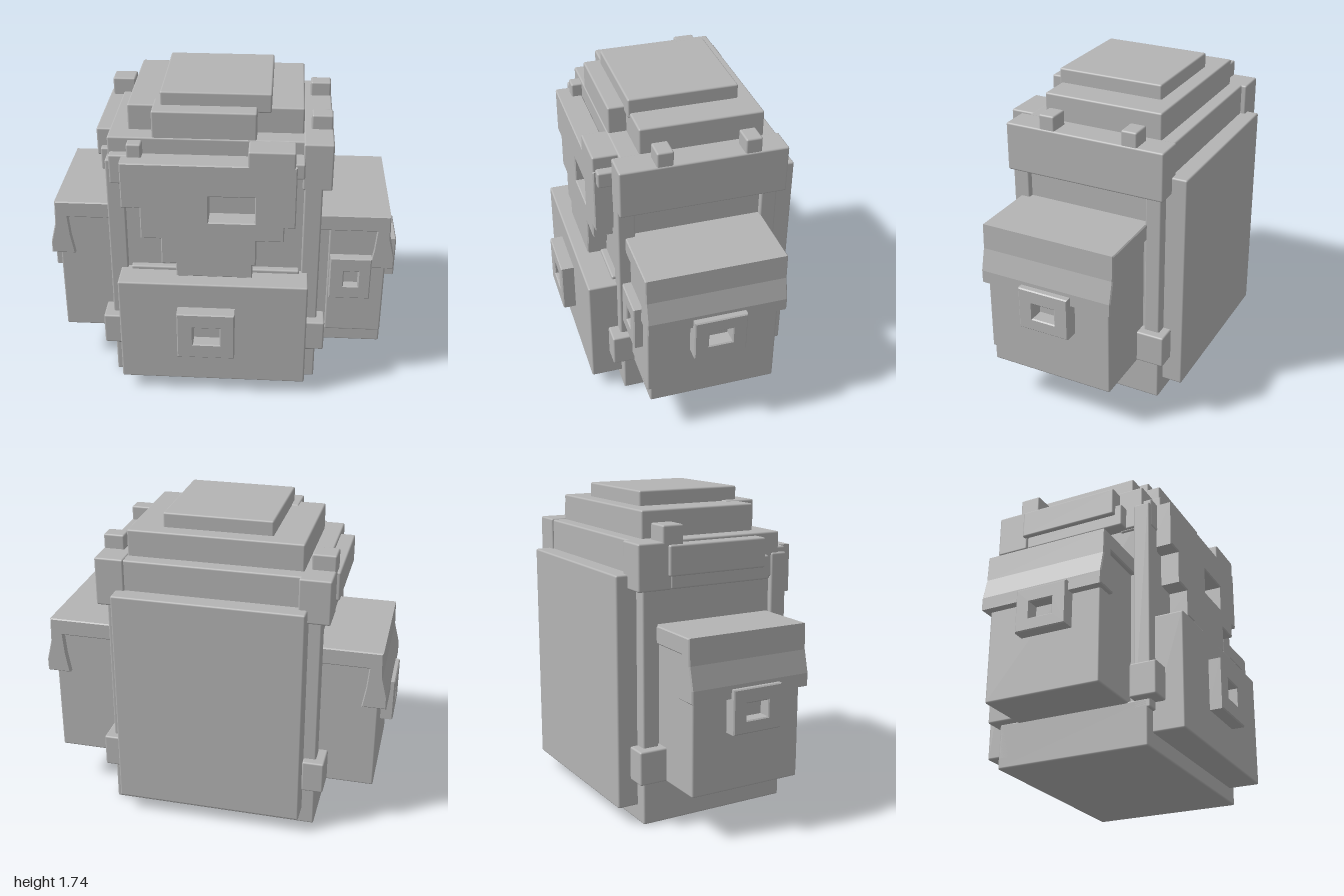
import * as THREE from 'three';
import { RoundedBoxGeometry } from 'three/addons/geometries/RoundedBoxGeometry.js';

const canvas = new THREE.MeshStandardMaterial({ color: 0xb4b4b4 });
canvas.name = 'greyCanvas';

// Softly rounded block given by its extents on each axis.
function block(parent, name, [x0, x1], [y0, y1], [z0, z1], r = 0.01) {
  const geo = new RoundedBoxGeometry(x1 - x0, y1 - y0, z1 - z0, 2, r);
  const mesh = new THREE.Mesh(geo, canvas);
  mesh.name = name;
  mesh.position.set((x0 + x1) / 2, (y0 + y1) / 2, (z0 + z1) / 2);
  parent.add(mesh);
  return mesh;
}

const path = (pts) => pts.map(([x, y]) => new THREE.Vector2(x, y));
const rect = (x0, x1, y0, y1) => path([[x0, y0], [x1, y0], [x1, y1], [x0, y1]]);

// Outline extruded along z, with an optional rectangular hole.
function plate(parent, name, outline, hole, z0, z1) {
  const shape = new THREE.Shape(outline);
  if (hole) shape.holes.push(new THREE.Path(hole));
  const b = 0.006;
  const geo = new THREE.ExtrudeGeometry(shape, {
    depth: z1 - z0 - 2 * b, bevelSize: b, bevelOffset: -b, bevelThickness: b, bevelSegments: 1,
  });
  geo.translate(0, 0, z0 + b);
  const mesh = new THREE.Mesh(geo, canvas);
  mesh.name = name;
  parent.add(mesh);
  return mesh;
}

// Side pocket on the model's left (s = 1) or right (s = -1).
function sidePocket(s, inner, outer, zBack, zFront) {
  const g = new THREE.Group();
  g.name = s > 0 ? 'leftSidePocket' : 'rightSidePocket';
  const span = (a, b) => (s > 0 ? [a, b] : [-b, -a]);
  block(g, 'pocketBody', span(inner, outer - 0.01), [0.24, 1.04], [zBack + 0.03, zFront - 0.025]);

  // Lid: thin top with a flared flap hanging over the outer face
  const pts = [[inner, 0.985], [outer - 0.07, 0.985], [outer - 0.08, 0.87], [outer - 0.1, 0.75],
    [outer + 0.035, 0.75], [outer + 0.035, 0.82], [outer + 0.005, 0.94], [outer, 1.08], [inner, 1.08]];
  const outline = path(pts.map(([x, y]) => [s * x, y]));
  plate(g, 'pocketLid', s > 0 ? outline : outline.reverse(), null, zBack, zFront);

  // Outer buckle, turned to face sideways
  const buckle = plate(g, 'sideBuckle', rect(-0.145, 0.145, 0.56, 0.8), rect(-0.065, 0.065, 0.63, 0.72), 0, 0.09);
  buckle.rotation.y = s * Math.PI / 2;
  buckle.position.set(s * 0.91, 0, -0.045);
  return g;
}

export function createModel() {
  const model = new THREE.Group();
  model.name = 'backpack';

  // Main sack with a wider base and corner posts
  block(model, 'sack', [-0.59, 0.52], [0.02, 1.42], [-0.49, 0.365]);
  block(model, 'base', [-0.62, 0.55], [0, 0.25], [-0.5, 0.37]);
  for (const x of [[-0.62, -0.52], [0.45, 0.55]]) {
    block(model, 'frontPost', x, [0.2, 1.4], [0.29, 0.385]);
    block(model, 'backPost', x, [0.05, 1.4], [-0.5, -0.41]);
  }
  for (const x of [[-0.67, -0.55], [0.48, 0.595]]) {
    block(model, 'frontStrapClip', x, [0.245, 0.43], [0.29, 0.44]);
    block(model, 'backStrapClip', x, [0.245, 0.43], [-0.545, -0.37]);
  }
  block(model, 'backPanel', [-0.55, 0.49], [0.09, 1.345], [-0.615, -0.47]);

  // Collar around the top
  block(model, 'collar', [-0.61, 0.5], [1.27, 1.515], [-0.52, 0.34]);
  block(model, 'leftCollarBand', [0.44, 0.6], [1.25, 1.52], [-0.53, 0.385]);
  block(model, 'rightCollarBand', [-0.69, -0.58], [1.34, 1.5], [-0.38, 0.2]);
  block(model, 'rightCollarLower', [-0.665, -0.58], [1.27, 1.4], [-0.36, 0.24]);
  block(model, 'rightBackCorner', [-0.67, -0.5], [1.27, 1.515], [-0.55, -0.36]);
  block(model, 'rightFrontCorner', [-0.6, -0.48], [1.26, 1.43], [0.2, 0.39]);
  block(model, 'frontKnob', [-0.5, -0.42], [1.38, 1.5], [0.25, 0.4]);
  block(model, 'leftFrontTab', [0.48, 0.595], [1.49, 1.6], [0.095, 0.185]);
  block(model, 'leftBackTab', [0.48, 0.595], [1.49, 1.6], [-0.38, -0.29]);
  block(model, 'rightBackTab', [-0.67, -0.54], [1.48, 1.6], [-0.41, -0.29]);

  // Stepped lid
  block(model, 'lidLower', [-0.51, 0.44], [1.48, 1.66], [-0.445, 0.235]);
  block(model, 'lidTop', [-0.33, 0.265], [1.63, 1.74], [-0.36, 0.245]);
  block(model, 'lidFrontRoll', [-0.37, 0.19], [1.5, 1.665], [0.15, 0.335]);

  // Front flap with stepped lower edge and a buckle opening
  plate(model, 'frontFlap', path([
    [-0.24, 0.74], [0.18, 0.74], [0.18, 0.82], [0.2, 0.82], [0.2, 0.975], [0.35, 0.975],
    [0.35, 1.06], [0.41, 1.06], [0.41, 1.425], [-0.53, 1.425], [-0.53, 1.16], [-0.43, 1.16],
    [-0.43, 0.975], [-0.32, 0.975], [-0.32, 0.82], [-0.24, 0.82],
  ]), rect(-0.06, 0.19, 1.085, 1.24), 0.34, 0.475);
  block(model, 'flapStrap', [0.15, 0.4], [1.38, 1.51], [0.27, 0.475]);
  block(model, 'flapStrapEnd', [0.37, 0.45], [1.35, 1.44], [0.3, 0.46]);

  // Front pocket and buckle
  block(model, 'frontPocket', [-0.56, 0.49], [0.085, 0.73], [0.34, 0.545]);
  block(model, 'frontPocketTop', [-0.5, 0.44], [0.65, 0.75], [0.34, 0.4]);
  plate(model, 'frontBuckle', rect(-0.23, 0.09, 0.29, 0.58), rect(-0.14, 0.01, 0.38, 0.49), 0.53, 0.62);

  // Side pockets, the left one with an extra front buckle
  model.add(sidePocket(1, 0.5, 0.93, -0.42, 0.345));
  model.add(sidePocket(-1, 0.57, 0.94, -0.42, 0.285));
  plate(model, 'sidePocketFrontBuckle', rect(0.61, 0.84, 0.57, 0.83), rect(0.69, 0.77, 0.65, 0.745), 0.3, 0.385);
  block(model, 'sidePocketFrontFace', [0.6, 0.92], [0.32, 1.04], [0.28, 0.335]);
  return model;
}
